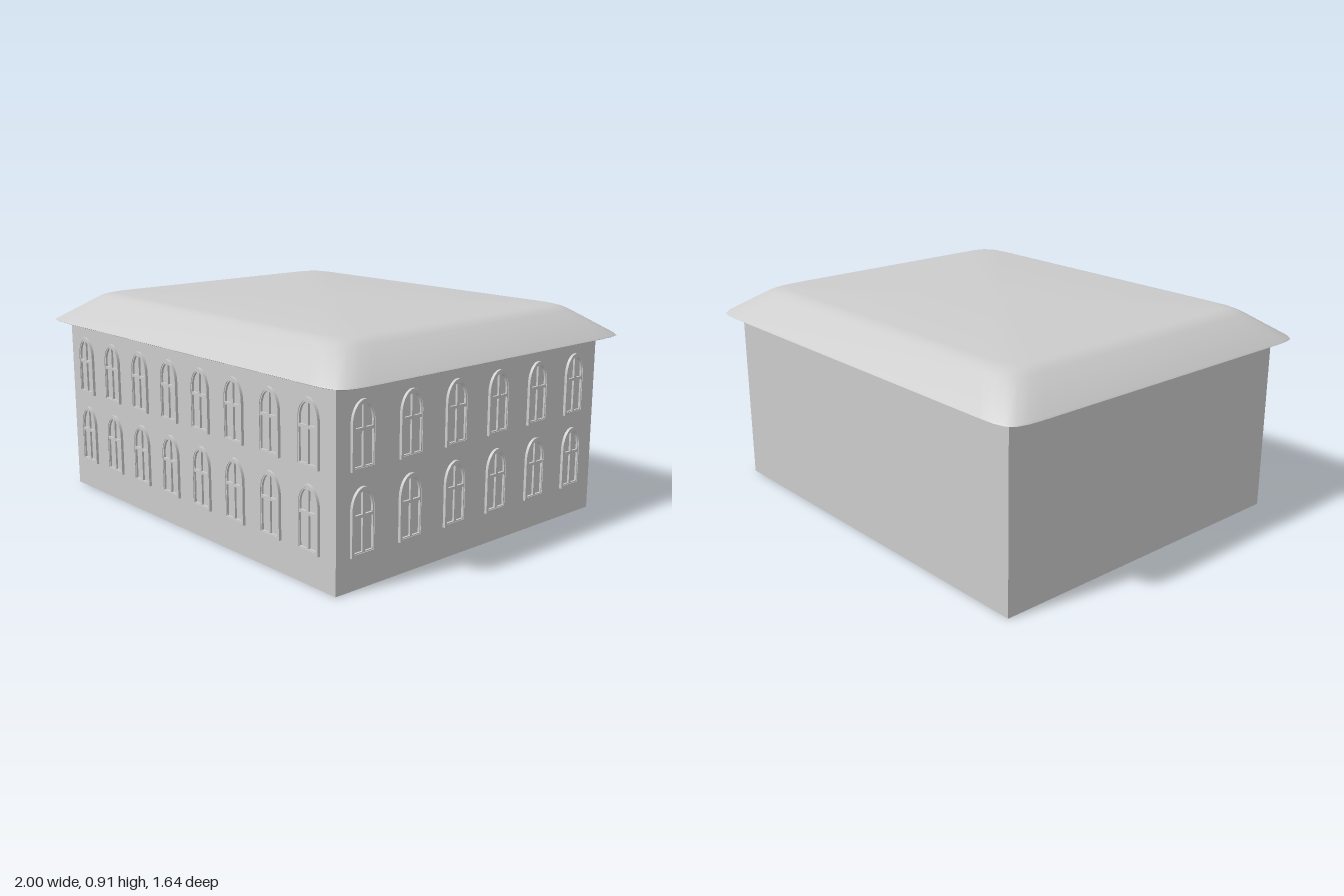
import * as THREE from 'three';
import { toCreasedNormals } from 'three/addons/utils/BufferGeometryUtils.js';

const stone = new THREE.MeshStandardMaterial({ color: 0xcccccc });
stone.name = 'light grey stone';

// Outline with straight sides and an elliptical arch, from y = 0 up
function archOutline(path, halfWidth, bottom, spring, top) {
  path.moveTo(-halfWidth, bottom);
  path.lineTo(halfWidth, bottom);
  path.lineTo(halfWidth, spring);
  path.absellipse(0, spring, halfWidth, top - spring, 0, Math.PI, false);
  path.lineTo(-halfWidth, bottom);
  return path;
}

function rectPath(x0, x1, y0, y1) {
  return new THREE.Path([[x0, y0], [x1, y0], [x1, y1], [x0, y1], [x0, y0]]
    .map(([x, y]) => new THREE.Vector2(x, y)));
}

// Half of the arched light above the transom
function upperPane(side) {
  const pts = [[0.006, 0.157], [0.043, 0.157]];
  for (let i = 0; i <= 8; i++) {
    const a = 0.14 + (i / 8) * 1.28;
    pts.push([Math.max(0.006, 0.044 * Math.cos(a)), 0.172 + 0.071 * Math.sin(a)]);
  }
  pts.push([0.006, 0.157]);
  return new THREE.Path(pts.map(([x, y]) => new THREE.Vector2(side * x, y)));
}

const extrude = (shape, depth) =>
  new THREE.ExtrudeGeometry(shape, { depth, bevelEnabled: false, curveSegments: 16 });

// Raised surround and a thinner sash with four lights
const surroundShape = archOutline(new THREE.Shape(), 0.06, 0, 0.172, 0.26);
surroundShape.holes.push(archOutline(new THREE.Path(), 0.049, 0.011, 0.172, 0.248));
const surroundGeometry = extrude(surroundShape, 0.012);

const sashShape = archOutline(new THREE.Shape(), 0.05, 0.01, 0.172, 0.249);
for (const s of [-1, 1]) {
  sashShape.holes.push(rectPath(s < 0 ? -0.045 : 0.006, s < 0 ? -0.006 : 0.045, 0.015, 0.145));
  sashShape.holes.push(upperPane(s));
}
const sashGeometry = extrude(sashShape, 0.009);

function makeWindow() {
  const group = new THREE.Group();
  group.name = 'archedWindow';
  const surround = new THREE.Mesh(surroundGeometry, stone);
  surround.name = 'windowSurround';
  const sash = new THREE.Mesh(sashGeometry, stone);
  sash.name = 'windowSash';
  group.add(surround, sash);
  return group;
}

// Rounded rectangular ring of the roof at one inset and height
function roofRing(inset, y) {
  const X = 1 - inset, Z = 0.82 - inset * 0.92;
  const corner = [[0, 0.15], [0.003, 0.09], [0.014, 0.042], [0.042, 0.014], [0.09, 0.003], [0.15, 0]];
  const ring = [];
  for (const [sx, sz] of [[1, 1], [-1, 1], [-1, -1], [1, -1]]) {
    const pts = sx * sz > 0 ? corner : [...corner].reverse();
    for (const [dx, dz] of pts) ring.push([sx * (X - dx), y, sz * (Z - dz)]);
  }
  return ring;
}

function makeRoof() {
  const rings = [[0.01, 0.775], [0, 0.779], [0.005, 0.785], [0.15, 0.886],
    [0.172, 0.898], [0.195, 0.905], [0.22, 0.908]].map(([i, y]) => roofRing(i, y));
  const n = rings[0].length, pos = [];
  const tri = (...pts) => pts.forEach((p) => pos.push(...p));
  for (let r = 0; r < rings.length - 1; r++) {
    for (let i = 0; i < n; i++) {
      const j = (i + 1) % n, a = rings[r], b = rings[r + 1];
      tri(a[i], b[i], a[j]);
      tri(a[j], b[i], b[j]);
    }
  }
  // Flat top and underside
  const last = rings[rings.length - 1];
  for (let i = 0; i < n; i++) {
    const j = (i + 1) % n;
    tri([0, 0.908, 0], last[j], last[i]);
    tri([0, 0.775, 0], rings[0][i], rings[0][j]);
  }
  const geometry = new THREE.BufferGeometry();
  geometry.setAttribute('position', new THREE.Float32BufferAttribute(pos, 3));
  const roof = new THREE.Mesh(toCreasedNormals(geometry, 0.5), stone);
  roof.name = 'hippedRoof';
  return roof;
}

export function createModel() {
  const model = new THREE.Group();
  model.name = 'building';

  const walls = new THREE.Mesh(new THREE.BoxGeometry(1.814, 0.776, 1.496), stone);
  walls.name = 'walls';
  walls.position.set(-0.003, 0.388, 0.002);
  model.add(walls, makeRoof());

  // Two storeys of windows on the front and on the +x side
  for (const y of [0.13, 0.452]) {
    for (let i = 0; i < 8; i++) {
      const w = makeWindow();
      w.position.set(-0.782 + i * 0.2203, y, 0.75);
      model.add(w);
    }
    for (let i = 0; i < 6; i++) {
      const w = makeWindow();
      w.rotation.y = Math.PI / 2;
      w.position.set(0.904, y, 0.622 - i * 0.2445);
      model.add(w);
    }
  }
  return model;
}
